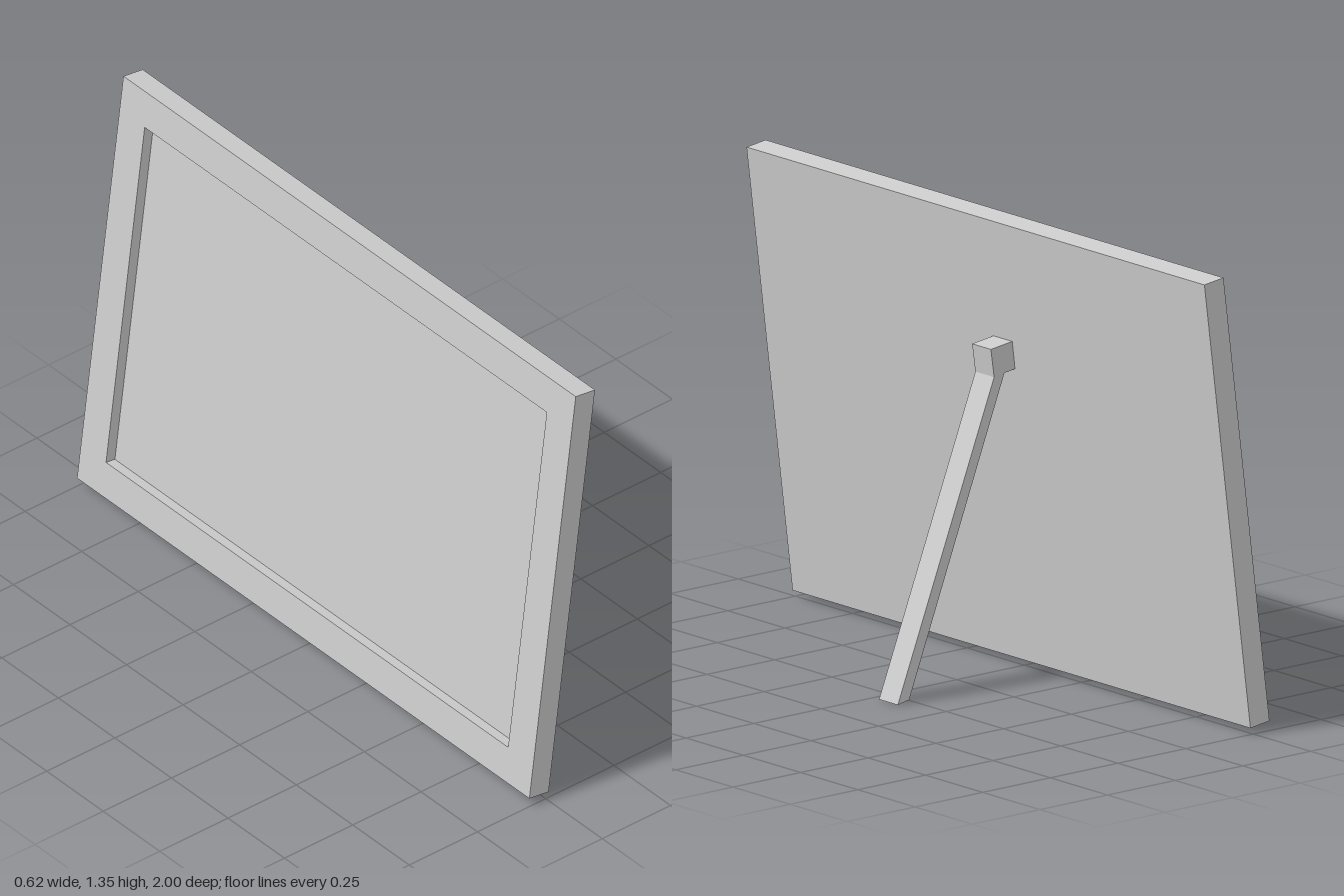
import * as THREE from 'three';

export function createModel() {
  const model = new THREE.Group();
  const material = new THREE.MeshStandardMaterial({ color: 0xcccccc, flatShading: true });
  const add = (parent, geometry, name) => {
    const mesh = new THREE.Mesh(geometry, material);
    mesh.name = name;
    parent.add(mesh);
  };

  // Leaning picture frame: local -x is the picture side, y runs up the slope
  const height = 1.333, width = 2, thickness = 0.071, recess = 0.033, border = 0.111;
  const frame = new THREE.Group();
  frame.name = 'pictureFrame';
  frame.position.set(-0.31, 0.028, 0);
  frame.rotation.z = -Math.atan2(0.17, 1.322);
  model.add(frame);

  const rectangle = (Type, inset) => {
    const x = width / 2 - inset, y0 = inset, y1 = height - inset;
    return new Type([[-x, y0], [x, y0], [x, y1], [-x, y1]].map(p => new THREE.Vector2(...p)));
  };

  // Raised border around the recessed picture
  const outline = rectangle(THREE.Shape, 0);
  outline.holes.push(rectangle(THREE.Path, border));
  const rim = new THREE.ExtrudeGeometry(outline, { depth: recess, bevelEnabled: false });
  rim.translate(0, 0, -recess).rotateY(-Math.PI / 2);
  add(frame, rim, 'frameBorder');

  // Solid backing, its front face forms the picture
  const backing = new THREE.BoxGeometry(thickness - recess, height, width);
  backing.translate((thickness + recess) / 2, height / 2, 0);
  add(frame, backing, 'backPanel');

  // Bracket and angled leg, cut from one side profile, slightly off centre
  const profile = new THREE.Shape([
    [-0.116, 0.989], [-0.125, 0.907], [-0.086, 0.902], [0.266, 0.008],
    [0.308, 0], [-0.048, 0.896], [-0.036, 0.979],
  ].map(p => new THREE.Vector2(...p)));
  const stand = new THREE.ExtrudeGeometry(profile, { depth: 0.082, bevelEnabled: false });
  stand.translate(0, 0, -0.107);
  add(model, stand, 'supportLeg');

  return model;
}
